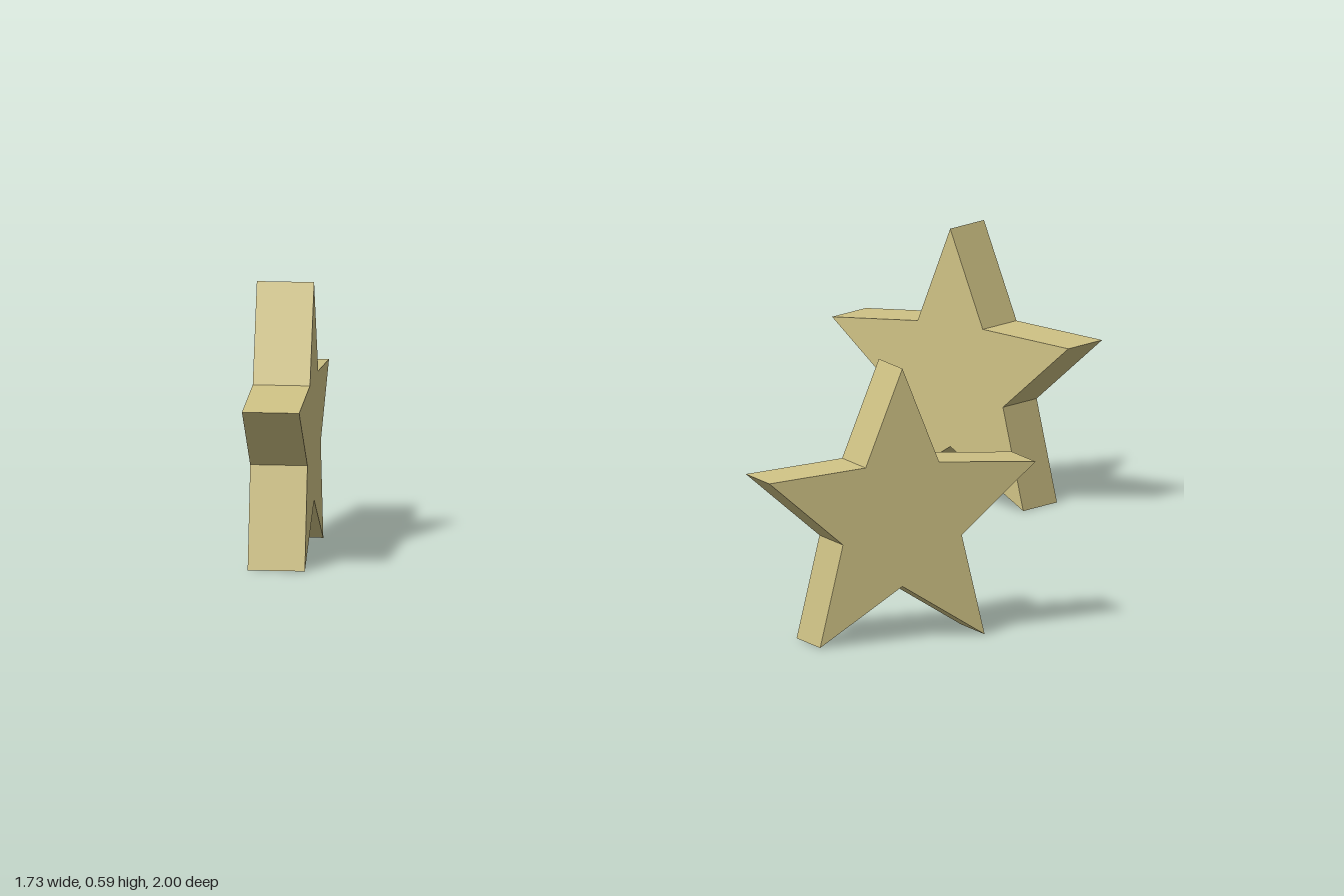
import * as THREE from 'three';

const OUTER = 0.325;  // tip radius
const INNER = 0.145;  // notch radius
const DEPTH = 0.122;  // star thickness
const RING = 0.914;   // distance of each star from the ring centre
const RING_X = -0.112; // ring centre, so the whole set is centred on x = 0

// Five-pointed star slab, centred on its own axis and standing on two tips
function starGeometry() {
  const points = [];
  for (let i = 0; i < 10; i++) {
    const r = i % 2 ? INNER : OUTER;
    const a = Math.PI / 2 + (i * Math.PI) / 5;
    points.push(new THREE.Vector2(r * Math.cos(a), r * Math.sin(a)));
  }
  const geometry = new THREE.ExtrudeGeometry(new THREE.Shape(points), {
    depth: DEPTH,
    bevelEnabled: false,
  });
  geometry.translate(0, OUTER * Math.cos(Math.PI / 5), -DEPTH / 2);
  return geometry;
}

export function createModel() {
  const model = new THREE.Group();
  model.name = 'starRing';

  const khaki = new THREE.MeshStandardMaterial({ color: 0xcfc285 });
  khaki.name = 'khaki';
  const geometry = starGeometry();

  // Three stars spaced evenly around a ring, each facing outward
  for (let i = 0; i < 3; i++) {
    const angle = Math.PI / 2 + (i * Math.PI * 2) / 3;
    const star = new THREE.Mesh(geometry, khaki);
    star.name = `star${i + 1}`;
    star.rotation.y = angle;
    star.position.set(RING_X + RING * Math.sin(angle), 0, RING * Math.cos(angle));
    model.add(star);
  }
  return model;
}
